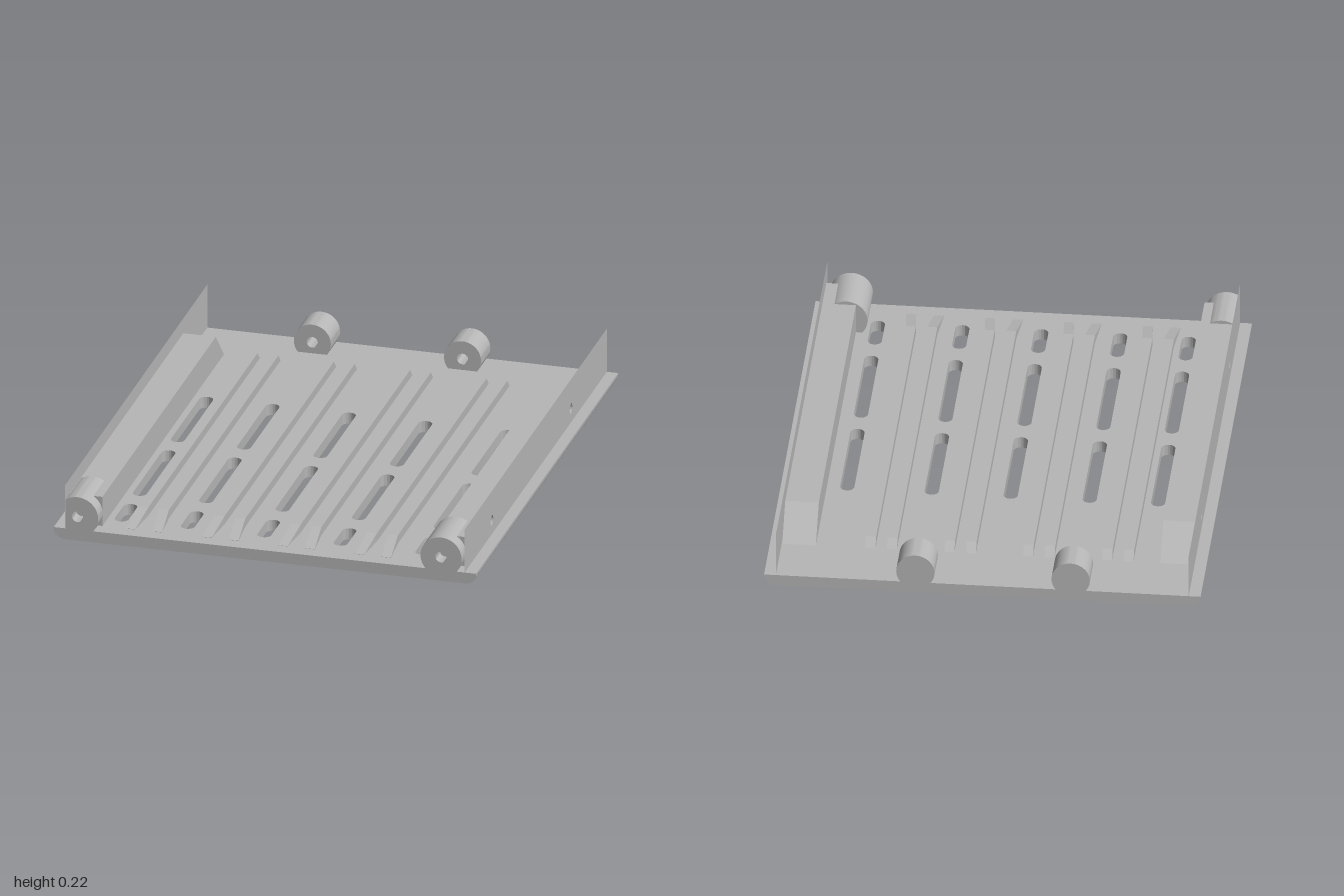
import * as THREE from 'three';
import { toCreasedNormals } from 'three/addons/utils/BufferGeometryUtils.js';

const grey = new THREE.MeshStandardMaterial({ color: 0xb6b6b6 });
grey.name = 'grey';
const greySheet = new THREE.MeshStandardMaterial({ color: 0xb6b6b6, side: THREE.DoubleSide });
greySheet.name = 'grey sheet';

const TOP = 0.045;      // top of the base plate
const WALL = 0.787;     // distance of the side walls from the centre
const HOLE = 0.022;

function createModel() {
  const model = new THREE.Group();
  model.name = 'slottedTray';

  const add = (name, geometry, material = grey) => {
    const mesh = new THREE.Mesh(geometry, material);
    mesh.name = name;
    model.add(mesh);
    return mesh;
  };
  const polygon = (points) => new THREE.Shape(points.map(([x, y]) => new THREE.Vector2(x, y)));
  const circlePath = (x, y, r) => new THREE.Path().absarc(x, y, r, 0, Math.PI * 2, true);
  const extrude = (shape, depth) => toCreasedNormals(
    new THREE.ExtrudeGeometry(shape, { depth, bevelEnabled: false, curveSegments: 24 }), 0.6);
  // Profile drawn in (z, y), extruded from x0 to x1
  const acrossX = (shape, x0, x1) => extrude(shape, x1 - x0).rotateY(-Math.PI / 2).translate(x1, 0, 0);

  // Base plate with rows of rounded slots (shape y is -z)
  const plate = polygon([[-WALL, -1], [WALL, -1], [WALL, 1], [-WALL, 1]]);
  const slotR = 0.027;
  for (const x of [-0.605, -0.344, -0.043, 0.258, 0.58]) {
    for (const [z0, z1] of [[-0.36, 0.09], [0.173, 0.625], [0.708, 0.88]]) {
      const slot = new THREE.Path();
      slot.absarc(x, -z0 - slotR, slotR, 0, Math.PI, false);
      slot.absarc(x, -z1 + slotR, slotR, Math.PI, Math.PI * 2, false);
      slot.closePath();
      plate.holes.push(slot);
    }
  }
  add('basePlate', extrude(plate, TOP).rotateX(-Math.PI / 2));

  // Rounded lower edges along both sides of the plate
  for (const side of [-1, 1]) {
    const edge = new THREE.Shape();
    edge.moveTo(side * WALL, TOP);
    edge.lineTo(side * WALL, 0);
    for (let i = 1; i <= 12; i++) {
      const a = (i / 12) * Math.PI / 2;
      edge.lineTo(side * (WALL + 0.045 * Math.sin(a)), 0.04 * (1 - Math.cos(a)));
    }
    edge.lineTo(side * (WALL + 0.045), TOP);
    edge.closePath();
    add(side > 0 ? 'leftPlateEdge' : 'rightPlateEdge', extrude(edge, 2).translate(0, 0, -1));
  }

  // Thin side walls and the ramped rails inside them, with blind screw holes
  const addHoles = (shape) => {
    for (const z of [0.612, -0.5]) shape.holes.push(circlePath(z, 0.1, HOLE));
    return shape;
  };
  const railProfile = () => polygon([[-0.77, TOP], [0.94, TOP], [0.94, 0.165], [-0.655, 0.165]]);
  for (const side of [-1, 1]) {
    const label = side > 0 ? 'left' : 'right';
    const wall = addHoles(polygon([[-1, TOP], [1, TOP], [1, 0.223], [-1, 0.223]]));
    add(label + 'Wall', new THREE.ShapeGeometry(wall, 24)
      .rotateY(-Math.PI / 2).translate(side * WALL, 0, 0), greySheet);
    const span = (a, b) => (side > 0 ? [a, b] : [-b, -a]);
    add(label + 'RailOuter', acrossX(addHoles(railProfile()), ...span(0.69, 0.785)));
    add(label + 'RailInner', acrossX(railProfile(), ...span(0.657, 0.69)));
  }

  // Round screw bosses with a blind hole in the front face
  const boss = (name, x, y, r, z0, z1, arc = Math.PI) => {
    const disc = () => new THREE.Shape().absarc(0, 0, r, -arc, arc, false);
    const drilled = disc();
    drilled.holes.push(circlePath(0, 0, HOLE));
    const mid = z0 + 0.03;
    add(name + 'Back', extrude(disc(), mid - z0).translate(x, y, z0));
    add(name + 'Front', extrude(drilled, z1 - mid).translate(x, y, mid));
  };
  boss('rearRightBoss', -0.337, 0.09, 0.073, -1, -0.87);
  boss('rearLeftBoss', 0.255, 0.09, 0.073, -1, -0.87);
  boss('frontLeftBoss', 0.694, 0.098, 0.081, 0.79, 1);
  // This one is cut flat where it meets the wall
  boss('frontRightBoss', -0.738, 0.098, 0.081, 0.79, 1, Math.acos(-0.048 / 0.081));

  // Guide ribs: ramped at the back, flared and tapering at the front
  const rib = (x, flare) => {
    const sections = [[-0.77, 0, 0], [-0.74, 0.034, 0], [0.8, 0.034, 0], [0.94, 0.001, flare]];
    const rings = sections.map(([z, h, dx]) => [
      [x + dx - 0.019, TOP - 0.005, z], [x + dx + 0.019, TOP - 0.005, z],
      [x + dx + 0.019, TOP + h, z], [x + dx - 0.019, TOP + h, z]]);
    const pos = [];
    const quad = (a, b, c, d) => pos.push(...a, ...b, ...c, ...a, ...c, ...d);
    for (let i = 0; i < rings.length - 1; i++) {
      for (let j = 0; j < 4; j++) {
        const k = (j + 1) % 4;
        quad(rings[i][j], rings[i][k], rings[i + 1][k], rings[i + 1][j]);
      }
    }
    quad(...[...rings[0]].reverse());
    quad(...rings[rings.length - 1]);
    const g = new THREE.BufferGeometry();
    g.setAttribute('position', new THREE.Float32BufferAttribute(pos, 3));
    g.computeVertexNormals();
    return g;
  };
  for (const x of [-0.494, -0.193, 0.107, 0.408]) {
    add('guideRib', rib(x - 0.041, -0.012));
    add('guideRib', rib(x + 0.041, 0.012));
  }

  return model;
}

export { createModel };
